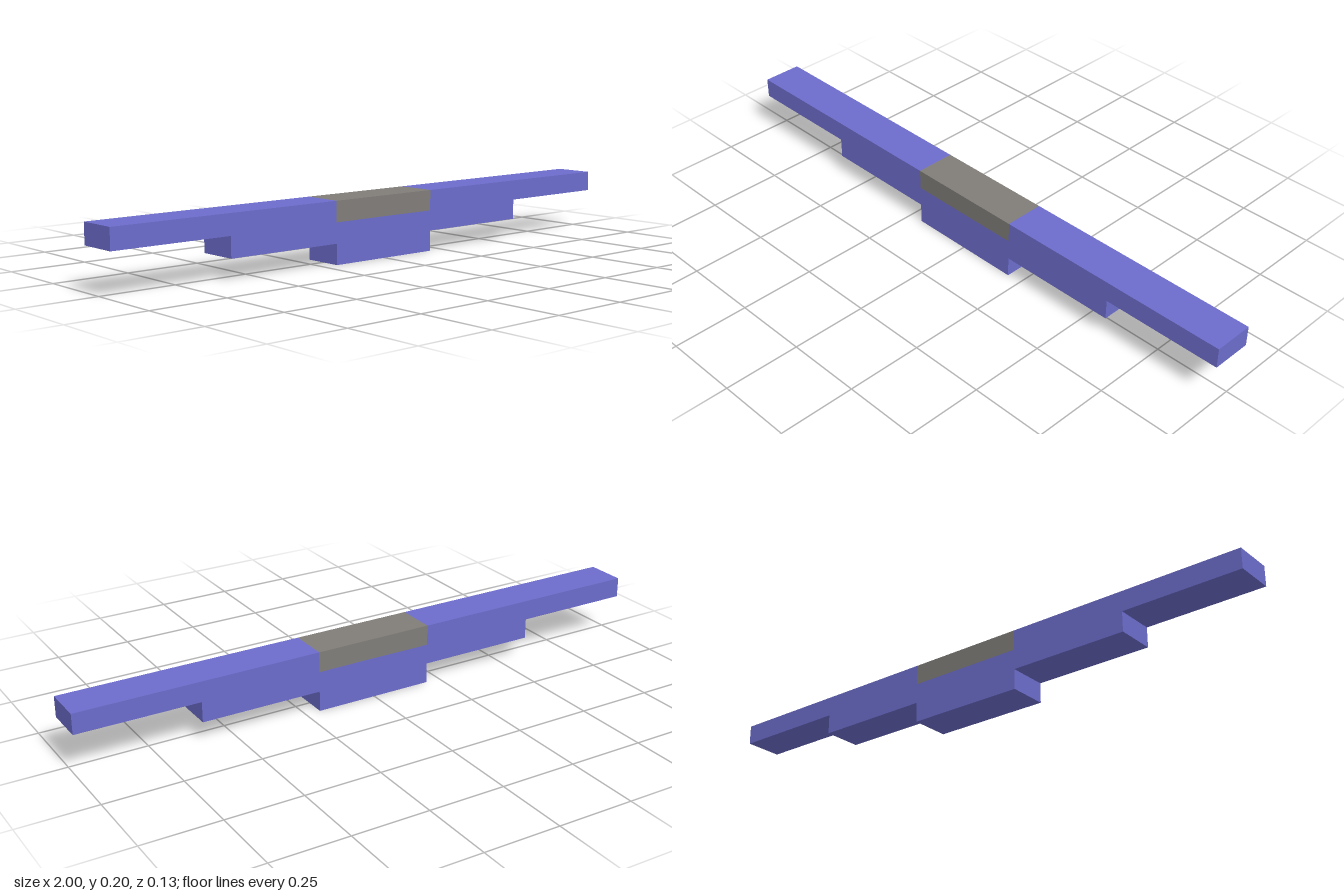
import * as THREE from 'three';

export function createModel() {
  const model = new THREE.Group();
  model.name = 'steppedBeam';

  const blue = new THREE.MeshStandardMaterial({ color: 0x6c6ccc });
  blue.name = 'periwinkle blue';
  const grey = new THREE.MeshStandardMaterial({ color: 0x807d79 });
  grey.name = 'stone grey';

  const step = 0.2 / 3;   // height of one layer
  const depth = 2 * step;

  // Right half of the stepped outline, from the keel up to the notch for the centre block
  const half = [
    [0.2, 0], [0.2, step], [0.6, step], [0.6, 2 * step],
    [1, 2 * step], [1, 3 * step], [0.2, 3 * step], [0.2, 2 * step],
  ];
  const mirrored = half.map(([x, y]) => [-x, y]).reverse();
  const outline = new THREE.Shape([...half, ...mirrored].map(([x, y]) => new THREE.Vector2(x, y)));

  // Stepped body
  const bodyGeometry = new THREE.ExtrudeGeometry(outline, { depth, bevelEnabled: false });
  bodyGeometry.translate(0, 0, -depth / 2);
  const body = new THREE.Mesh(bodyGeometry, blue);
  body.name = 'steppedBody';
  model.add(body);

  // Grey block set flush into the top centre
  const block = new THREE.Mesh(new THREE.BoxGeometry(0.4, step, depth), grey);
  block.name = 'centreBlock';
  block.position.y = 2.5 * step;
  model.add(block);

  return model;
}
